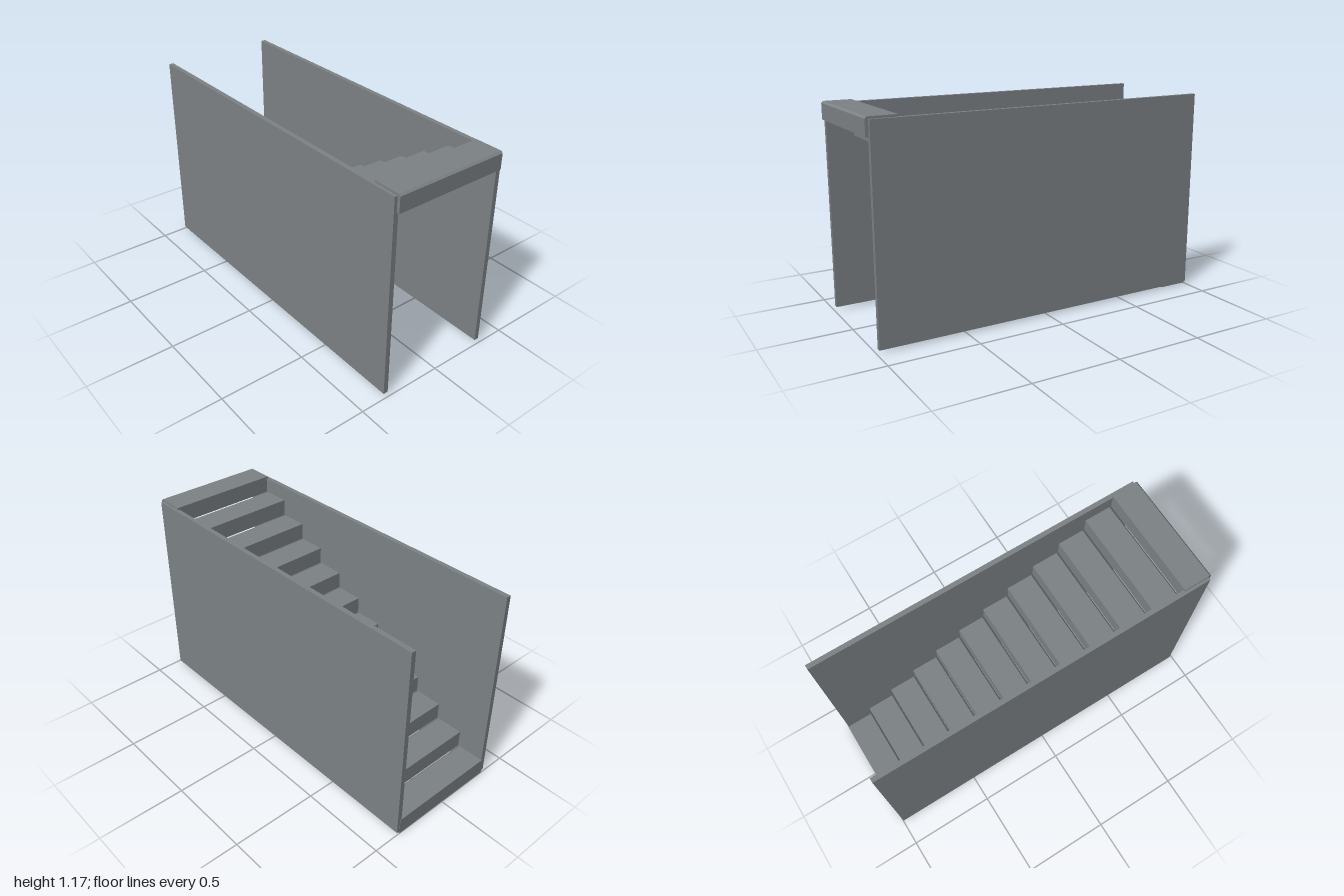
import * as THREE from 'three';

const STEPS = 12;
const LENGTH = 2, HEIGHT = 1.175;
const RUN = LENGTH / STEPS, RISE = HEIGHT / STEPS;
const STEP_WIDTH = 0.66, BEVEL = 0.01;

// Block step with a small chamfer along its upper +z edge
function stepGeometry() {
  const s = new THREE.Shape();
  s.moveTo(0, 0);
  s.lineTo(RUN, 0);
  s.lineTo(RUN, RISE - BEVEL);
  s.lineTo(RUN - BEVEL, RISE);
  s.lineTo(0, RISE);
  s.closePath();
  const g = new THREE.ExtrudeGeometry(s, { depth: STEP_WIDTH, bevelEnabled: false });
  g.translate(0, 0, -STEP_WIDTH / 2);
  g.rotateY(-Math.PI / 2); // profile x becomes z
  return g;
}

export function createModel() {
  const group = new THREE.Group();
  group.name = 'staircase';
  const grey = new THREE.MeshStandardMaterial({ color: 0x7d8285 });
  grey.name = 'slate grey';

  // Flight of steps, climbing from back to front
  const flight = new THREE.Group();
  flight.name = 'steps';
  const geometry = stepGeometry();
  for (let i = 0; i < STEPS; i++) {
    const step = new THREE.Mesh(geometry, grey);
    step.name = `step${i + 1}`;
    step.position.set(0, i * RISE, -LENGTH / 2 + i * RUN);
    flight.add(step);
  }
  group.add(flight);

  // Side walls
  const wallGeometry = new THREE.BoxGeometry(0.027, 1.15, 1.981);
  for (const side of [1, -1]) {
    const wall = new THREE.Mesh(wallGeometry, grey);
    wall.name = side > 0 ? 'leftWall' : 'rightWall';
    wall.position.set(side * 0.3335, 0.588, -0.0075);
    group.add(wall);
  }
  return group;
}
